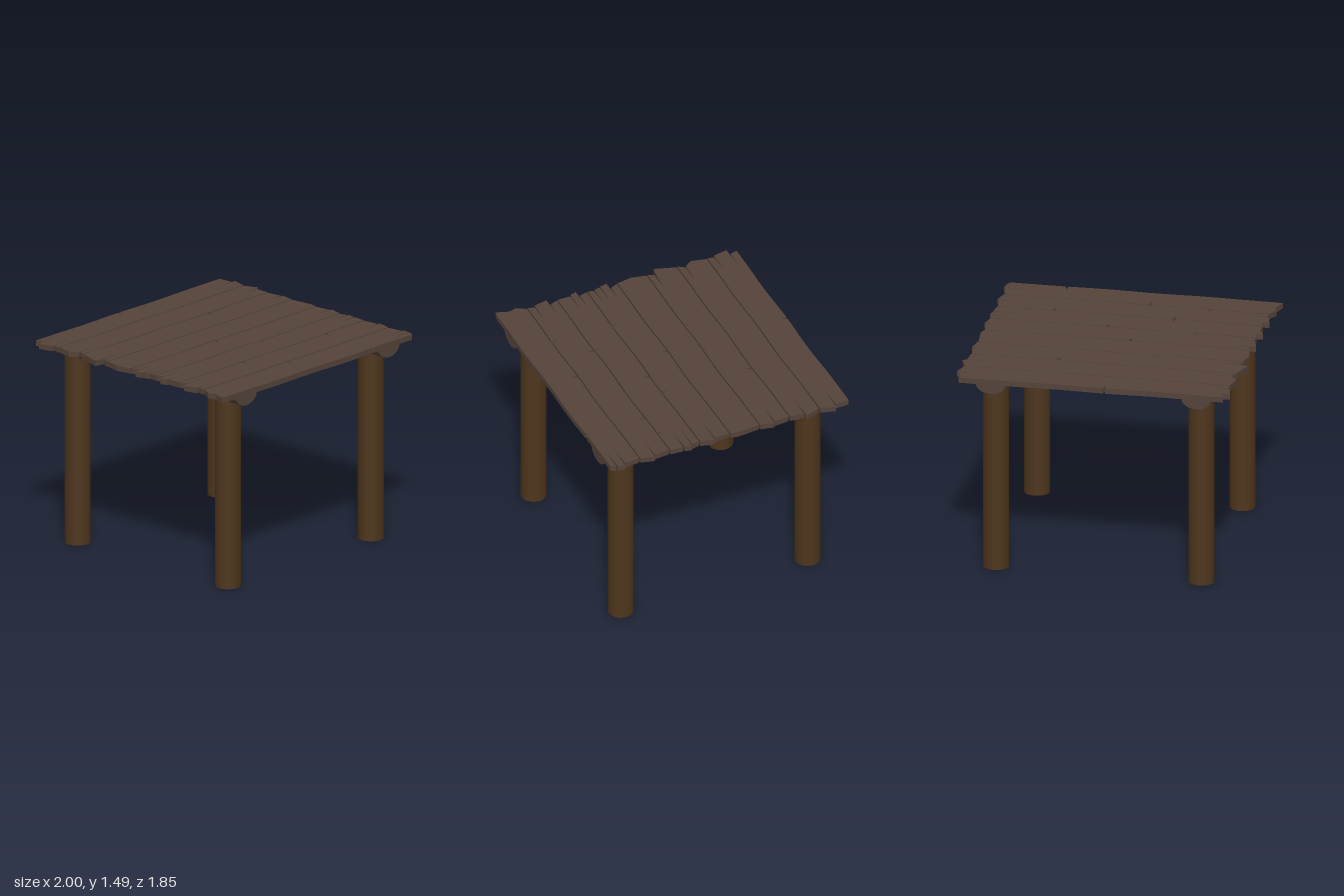
import * as THREE from 'three';

const plankMat = new THREE.MeshStandardMaterial({ color: 0x54433a, flatShading: true });
const beamMat = new THREE.MeshStandardMaterial({ color: 0x54433a });
const legMat = new THREE.MeshStandardMaterial({ color: 0x4d351c });

const TOP = 1.49, THICK = 0.04, PITCH = 0.232, WIDTH = 0.222;
const BEAM_W = 0.106, BEAM_H = 0.075;

// Weathering of each plank, back to front. Ends list breaks across the width:
// [fraction, reach] is a plain corner, [fraction, reach before, reach after] a split.
// backNicks and frontNicks are x positions of small chips in the long edges.
const PLANKS = [
  { left: [[0.23, 0.93, 0.98], [0.75, 0.96, 0.94]], right: [[0.46, 0.96, 0.99]], backNicks: [-0.09] },
  { left: [[0.5, 0.97], [0.75, 0.93, 0.92]], right: [[0.43, 0.995], [0.49, 0.98, 0.965]] },
  { left: [[0.7, 0.995], [0.77, 0.89, 0.93]], right: [[0.5, 0.957, 0.98]], backNicks: [0.33], frontNicks: [-0.31] },
  { left: [[0.48, 0.97]], right: [[0.77, 0.973]] },
  { left: [[0.24, 0.92, 0.98], [0.53, 0.965, 0.96], [0.76, 0.95, 0.94]], right: [[0.5, 0.957, 0.985]],
    backNicks: [-0.09], frontNicks: [-0.52, 0.33] },
  { left: [[0.26, 0.93, 0.98], [0.52, 0.965, 0.95]], right: [[0.24, 0.957, 0.98], [0.52, 0.967, 0.957]],
    backNicks: [0.12], frontNicks: [-0.31, 0.75] },
  { left: [[0.24, 0.925, 0.98], [0.74, 0.957, 0.94]], right: [[0.5, 0.957, 0.985]],
    backNicks: [-0.31, 0.55], frontNicks: [-0.52] },
  { left: [[0.3, 0.985], [0.55, 0.967], [0.98, 1]], right: [[0.5, 0.957, 0.985], [0.78, 0.978, 0.978]],
    backNicks: [-0.09], frontNicks: [0.55] }
];

// Gentle waviness shared by the long edges
const wave = x => 0.0045 * (1 - Math.cos((x + 0.1) * 8)) * (1 - x * x);

// Points along a long edge, left to right; a chip cuts in by the signed depth
function longEdge(z, nicks, depth) {
  const pts = [];
  for (let x = -0.72; x < 0.73; x += 0.08) {
    if (!nicks.some(n => Math.abs(n - x) < 0.03)) pts.push([x, z + wave(x)]);
  }
  for (const n of nicks) {
    pts.push([n - 0.008, z + wave(n)], [n - 0.005, z + depth + wave(n)], [n + 0.012, z + wave(n)]);
  }
  return pts.sort((a, b) => a[0] - b[0]);
}

// Ragged end of a plank, back to front; side is -1 or 1
function raggedEnd(side, z, breaks) {
  const pts = [[0.945, 0]];
  for (const [t, before, after] of breaks) {
    pts.push([before, t]);
    if (after) pts.push([0.78, t + 0.025], [after, t + 0.05]);
  }
  pts.push([0.95, 1]);
  const shift = side > 0 ? 0.01 : 0;
  return pts.map(([x, t]) => [side * x + shift * (x < 0.96), z + t * WIDTH]);
}

function plank({ left, right, backNicks = [], frontNicks = [] }, z) {
  const outline = [
    ...longEdge(z, backNicks, 0.05),
    ...raggedEnd(1, z, right),
    ...longEdge(z + WIDTH, frontNicks, -0.05).reverse(),
    ...raggedEnd(-1, z, left).reverse()
  ];
  const shape = new THREE.Shape(outline.map(([x, y]) => new THREE.Vector2(x, y)));
  const geo = new THREE.ExtrudeGeometry(shape, { depth: THICK, bevelEnabled: false });
  geo.rotateX(Math.PI / 2);
  return new THREE.Mesh(geo, plankMat);
}

// Half-round beam with its flat side up, running front to back
function beam() {
  const shape = new THREE.Shape();
  shape.absellipse(0, 0, BEAM_W, BEAM_H, Math.PI, Math.PI * 2, false);
  shape.closePath();
  const geo = new THREE.ExtrudeGeometry(shape, { depth: 1.82, bevelEnabled: false, curveSegments: 20 });
  geo.translate(0, 0, -0.91);
  // Smooth the curved underside only
  const p = geo.attributes.position, n = geo.attributes.normal;
  for (let i = 0; i < p.count; i++) {
    if (Math.abs(n.getZ(i)) > 0.5 || n.getY(i) > 0.5) continue;
    const v = new THREE.Vector3(p.getX(i) / BEAM_W ** 2, p.getY(i) / BEAM_H ** 2, 0).normalize();
    n.setXYZ(i, v.x, v.y, 0);
  }
  return new THREE.Mesh(geo, beamMat);
}

export function createModel() {
  const model = new THREE.Group();
  model.name = 'plankTable';

  // Table top
  const top = new THREE.Group();
  top.name = 'tableTop';
  PLANKS.forEach((spec, i) => {
    const m = plank(spec, -0.93 + i * PITCH);
    m.name = 'plank' + (i + 1);
    m.position.y = TOP;
    top.add(m);
  });
  model.add(top);

  // Beams and round legs
  const legGeo = new THREE.CylinderGeometry(0.092, 0.092, 1.43, 32);
  for (const [side, x] of [['right', -0.746], ['left', 0.73]]) {
    const b = beam();
    b.name = side + 'Beam';
    b.position.set(x, TOP - THICK, 0);
    model.add(b);
    for (const [end, z] of [['Front', 0.732], ['Back', -0.714]]) {
      const leg = new THREE.Mesh(legGeo, legMat);
      leg.name = side + end + 'Leg';
      leg.position.set(x, 0.715, z);
      model.add(leg);
    }
  }
  return model;
}
